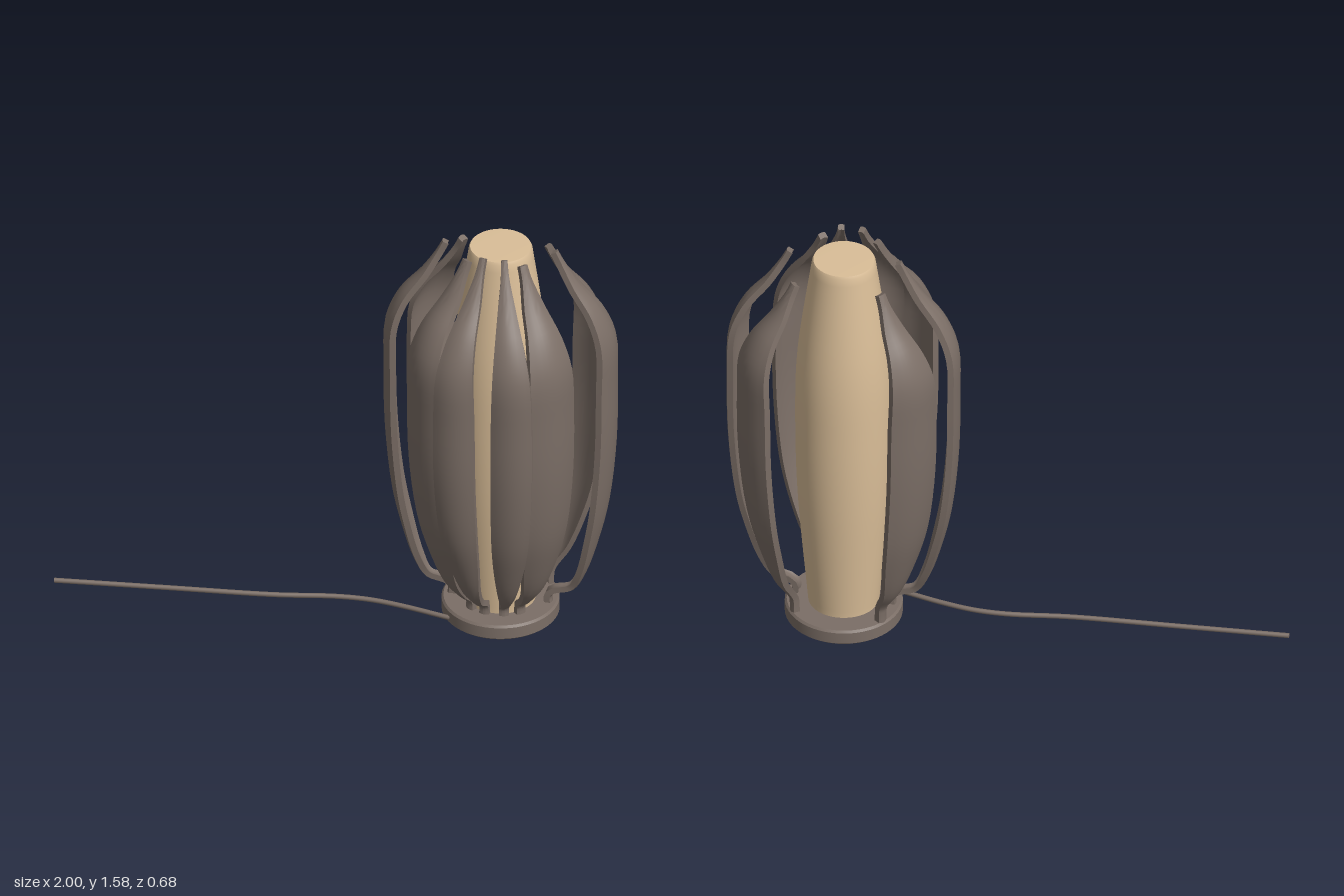
import * as THREE from 'three';
import { toCreasedNormals } from 'three/addons/utils/BufferGeometryUtils.js';

const CENTER_X = 0.578, CENTER_Z = -0.05;
const RAD = Math.PI / 180;

// Shared leaf outline: [height, swell, width]; swell and width are fractions
const LOWER = [[0.12, 0, 0.2], [0.2, 0.3, 0.42], [0.35, 0.6, 0.73], [0.5, 0.81, 0.91], [0.75, 0.97, 1], [1, 1, 1]];
// Above the belly the height is a fraction of the way to the tip
const UPPER = [[0.36, 0.97, 0.91], [0.58, 0.74, 0.7], [0.76, 0.37, 0.42], [0.91, 0.12, 0.2], [1, 0, 0.15]];

function leafCurve({ stem, stemY, foot, belly, tip, tipY, width }) {
  const mix = THREE.MathUtils.lerp;
  return new THREE.CatmullRomCurve3([
    new THREE.Vector3(stem, stemY, 0.018),
    new THREE.Vector3(stem, 0.09, 0.018),
    ...LOWER.map(([h, s, w]) => new THREE.Vector3(mix(foot, belly, s), h, w * width)),
    ...UPPER.map(([h, s, w]) => new THREE.Vector3(mix(tip, belly, s), mix(1, tipY, h), w * width)),
  ], false, 'centripetal');
}

// Curved leaf lofted along a curve of (radius, height, halfWidth)
function leafGeometry(angle, facing, curve, width) {
  const rows = 48, m = 9, n = 2 * m, thick = 0.022;
  const pos = [], idx = [];
  for (let i = 0; i <= rows; i++) {
    const p = curve.getPoint(i / rows), t = curve.getTangent(i / rows);
    const len = Math.hypot(t.x, t.y), nr = t.y / len, ny = -t.x / len;
    const f = angle + (facing - angle) * p.z / width;
    for (let j = 0; j < n; j++) {
      const outer = j < m;
      const k = outer ? 1 - 2 * j / (m - 1) : -1 + 2 * (j - m) / (m - 1);
      const off = (outer ? 0 : -thick) - 0.28 * p.z * k * k;
      const s = k * p.z;
      pos.push(
        Math.cos(angle) * p.x + Math.cos(f) * nr * off - Math.sin(f) * s,
        p.y + ny * off,
        Math.sin(angle) * p.x + Math.sin(f) * nr * off + Math.cos(f) * s);
    }
  }
  for (let i = 0; i < rows; i++) {
    for (let j = 0; j < n; j++) {
      const a = i * n + j, b = i * n + (j + 1) % n;
      idx.push(a, b, b + n, a, b + n, a + n);
    }
  }
  // End caps
  const top = rows * n;
  for (let j = 0; j < m - 1; j++) {
    const a = j, b = j + 1, c = n - 2 - j, d = n - 1 - j;
    idx.push(c, b, a, d, c, a);
    idx.push(top + a, top + b, top + c, top + a, top + c, top + d);
  }
  const g = new THREE.BufferGeometry();
  g.setAttribute('position', new THREE.Float32BufferAttribute(pos, 3));
  g.setIndex(idx);
  return toCreasedNormals(g, 0.7);
}

function lathe(points, segments) {
  const g = new THREE.LatheGeometry(points.map(p => new THREE.Vector2(...p)), segments);
  return toCreasedNormals(g, 0.6);
}

export function createModel() {
  const model = new THREE.Group();
  const brown = new THREE.MeshStandardMaterial({ color: 0x7b6e66 });
  brown.name = 'warm brown';
  const sand = new THREE.MeshStandardMaterial({ color: 0xdabe98 });
  sand.name = 'sand shade';

  const lamp = new THREE.Group();
  lamp.name = 'lamp';
  lamp.position.set(CENTER_X, 0, CENTER_Z);
  model.add(lamp);
  const add = (name, geometry, material, parent = lamp) => {
    const mesh = new THREE.Mesh(geometry, material);
    mesh.name = name;
    parent.add(mesh);
    return mesh;
  };

  // Inner shade
  const side = new THREE.SplineCurve([
    [0.125, 0.05], [0.162, 0.5], [0.172, 0.85], [0.163, 1.15], [0.113, 1.53],
  ].map(p => new THREE.Vector2(...p))).getPoints(32).map(p => [p.x, p.y]);
  add('shade', lathe([[0, 0.045], [0.125, 0.045], ...side, [0.108, 1.54], [0, 1.542]], 48), sand);

  // Base ring, hollow underneath, with a ring of bosses
  add('base', lathe([
    [0.16, 0], [0.2, 0], [0.209, 0.008], [0.209, 0.052], [0.202, 0.06], [0.05, 0.06],
    [0.05, 0.012], [0.08, 0.012], [0.085, 0.036], [0.15, 0.036], [0.16, 0],
  ], 56), brown);
  for (let i = 0; i < 8; i++) {
    const a = (i + 0.5) * Math.PI / 4;
    const boss = add('baseBoss', new THREE.CylinderGeometry(0.014, 0.014, 0.03, 16), brown);
    boss.position.set(Math.cos(a) * 0.12, 0.026, Math.sin(a) * 0.12);
  }

  // Four leaf kinds, each mirrored left and right
  const leaves = [
    { name: 'backLeaf', angle: -35, facing: -41, stem: 0.205, stemY: 0.01, foot: 0.21, belly: 0.385, tip: 0.2, tipY: 1.49, width: 0.1 },
    { name: 'sideLeaf', angle: 3, facing: 10, stem: 0.19, stemY: 0.05, foot: 0.265, belly: 0.417, tip: 0.207, tipY: 1.55, width: 0.081 },
    { name: 'frontSideLeaf', angle: 49.5, facing: 43, stem: 0.15, stemY: 0.05, foot: 0.18, belly: 0.388, tip: 0.165, tipY: 1.55, width: 0.1 },
    { name: 'frontLeaf', angle: 75, facing: 85, stem: 0.145, stemY: 0.05, foot: 0.185, belly: 0.41, tip: 0.155, tipY: 1.58, width: 0.073 },
  ];
  for (const leaf of leaves) {
    const { name, angle, facing, width } = leaf;
    const curve = leafCurve(leaf);
    add(name + 'Left', leafGeometry(angle * RAD, facing * RAD, curve, width), brown);
    add(name + 'Right', leafGeometry((180 - angle) * RAD, (180 - facing) * RAD, curve, width), brown);
  }

  // Power cable lying along the floor
  const path = new THREE.CatmullRomCurve3([
    [-1, 0.087], [-0.6, 0.064], [-0.22, 0.042], [0, 0.014], [0.12, 0.014], [0.24, 0.034], [0.42, 0.08],
  ].map(([x, z]) => new THREE.Vector3(x, 0.024, z)));
  add('cable', new THREE.TubeGeometry(path, 64, 0.009, 10), brown, model);
  const end = add('cableEnd', new THREE.CircleGeometry(0.009, 10), brown, model);
  end.position.set(-1, 0.024, 0.087);
  end.rotation.y = -Math.PI / 2;

  return model;
}
